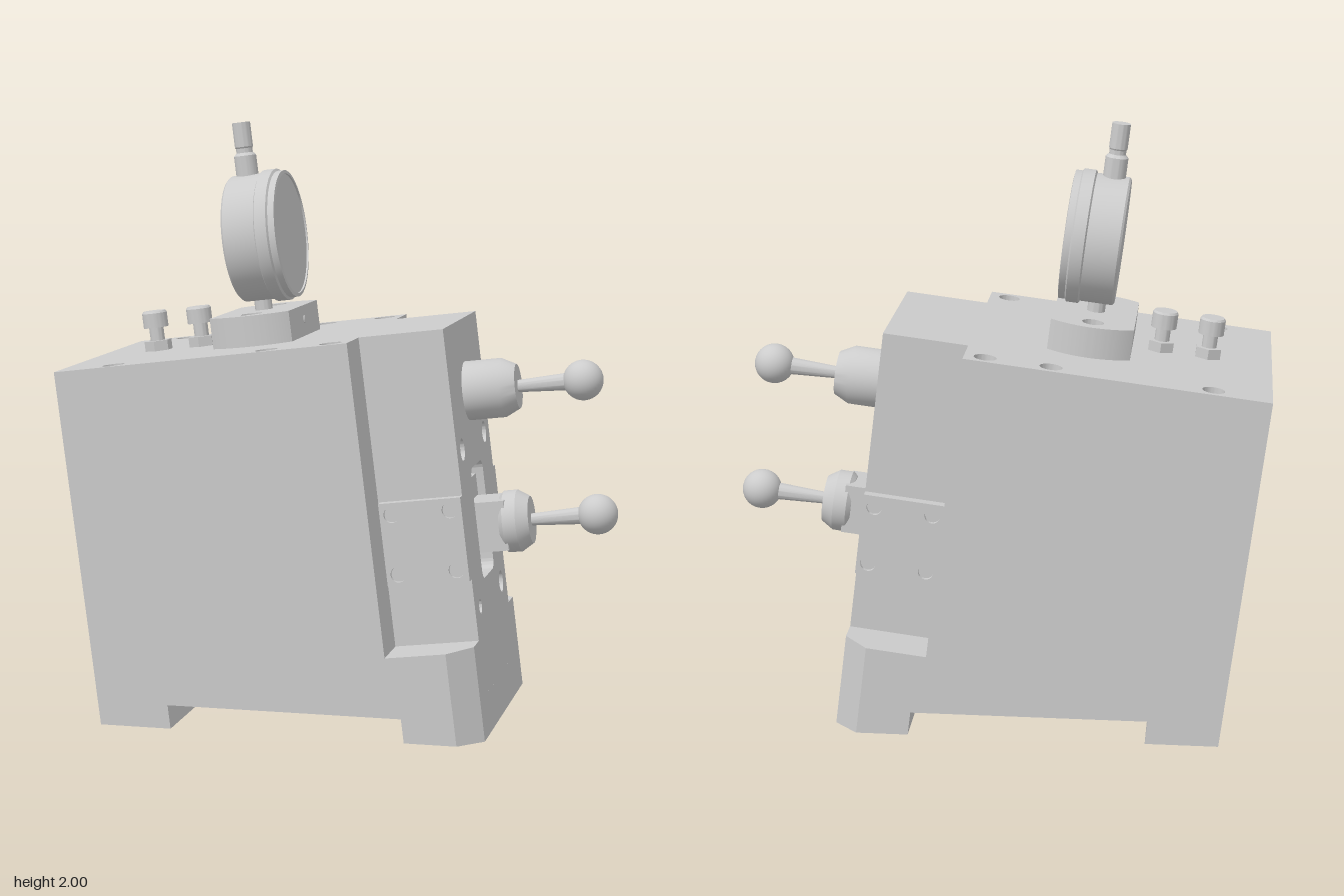
import * as THREE from 'three';
import { toCreasedNormals } from 'three/addons/utils/BufferGeometryUtils.js';

const TILT = THREE.MathUtils.degToRad(7);
const TAN = Math.tan(TILT);
const mat = new THREE.MeshStandardMaterial({ color: 0xcccccc, side: THREE.DoubleSide });

function add(parent, name, geo, x = 0, y = 0, z = 0) {
  const m = new THREE.Mesh(geo, mat);
  m.name = name;
  m.position.set(x, y, z);
  parent.add(m);
  return m;
}

// Polygon with round holes given as [x, y, radius]
function plate(points, holes = []) {
  const s = new THREE.Shape(points.map(p => new THREE.Vector2(p[0], p[1])));
  for (const [x, y, r] of holes) s.holes.push(new THREE.Path().absarc(x, y, r, 0, Math.PI * 2, true));
  return s;
}

function extrude(shape, depth) {
  return new THREE.ExtrudeGeometry(shape, { depth, bevelEnabled: false, curveSegments: 20 });
}
const alongY = (shape, depth) => toCreasedNormals(extrude(shape, depth).rotateX(-Math.PI / 2), 0.6);
const alongX = (shape, depth) => toCreasedNormals(extrude(shape, depth).rotateY(Math.PI / 2), 0.6);
const rect = (x0, x1, y0, y1) => [[x0, y0], [x1, y0], [x1, y1], [x0, y1]];

// Turned part from [radius, height] pairs
function turned(profile, toX = false) {
  let g = new THREE.LatheGeometry(profile.map(p => new THREE.Vector2(p[0], p[1])), 48);
  if (toX) g.rotateZ(-Math.PI / 2);
  return toCreasedNormals(g, 0.5);
}

// Shoulder inside a counterbored hole
function shoulder(parent, r, axis, x, y, z) {
  const g = new THREE.RingGeometry(r * 0.62, r, 24);
  if (axis === 'x') g.rotateY(Math.PI / 2);
  if (axis === 'y') g.rotateX(-Math.PI / 2);
  add(parent, 'holeShoulder', g, x, y, z);
}

// Lever with a hub, tapered rod and ball, pointing along +x
function lever(parent, name, y, hub) {
  const g = new THREE.Group();
  g.name = name;
  g.position.y = y;
  add(g, 'hub', turned(hub, true));
  add(g, 'rod', turned([[0.02, 0.69], [0.03, 0.88]], true));
  add(g, 'ball', new THREE.SphereGeometry(0.068, 32, 24), 0.92);
  parent.add(g);
}

export function createModel() {
  const root = new THREE.Group();
  root.name = 'tiltedFixture';
  const body = new THREE.Group();
  body.name = 'tiltedBody';
  body.rotation.z = TILT;
  root.add(body);

  const floorAt = (X, h) => h / Math.cos(TILT) - X * TAN;

  // Main block
  add(body, 'mainBlock', extrude(plate([
    [-0.708, floorAt(-0.708, 0.12)], [0.243, floorAt(0.243, 0.12)], [0.243, 1.24], [-0.708, 1.24],
  ]), 0.94), 0, 0, -0.47);

  // Top plate with screw holes
  const topHoles = [];
  for (const x of [-0.567, -0.04, 0.175]) for (const z of [-0.415, 0.415]) {
    topHoles.push([x, z, 0.037]);
    shoulder(body, 0.037, 'y', x, 1.265, z);
  }
  add(body, 'topPlate', alongY(plate([
    [-0.758, -0.47], [0.243, -0.47], [0.243, -0.3], [0.526, -0.3],
    [0.526, 0.3], [0.243, 0.3], [0.243, 0.47], [-0.758, 0.47],
  ], topHoles), 0.05), 0, 1.24, 0);

  // Back plate with screw holes
  const backHoles = [];
  for (const y of [0.3, 0.77, 1.2]) for (const z of [-0.415, 0.415]) {
    backHoles.push([z, y, 0.034]);
    shoulder(body, 0.034, 'x', -0.735, y, z);
  }
  add(body, 'backPlate', alongX(plate(rect(-0.47, 0.47, 0.2, 1.24), backHoles), 0.05), -0.758, 0, 0);

  // Front column with slot and holes
  add(body, 'columnCore', new THREE.BoxGeometry(0.14, 1.0, 0.6), 0.31, 0.74, 0);
  const frontHoles = [[0.205, 0.878, 0.037], [-0.205, 0.878, 0.037], [0.205, 0.349, 0.037], [-0.205, 0.349, 0.024]];
  const front = plate(rect(-0.3, 0.3, 0.24, 1.24), frontHoles);
  for (const [a, y, r] of frontHoles) if (r > 0.03) shoulder(body, r, 'x', 0.505, y, -a);
  const slot = new THREE.Path(), w = 0.11, lo = 0.419, hi = 0.797, c = 0.035;
  slot.absarc(w - c, lo + c, c, -Math.PI / 2, 0);
  slot.absarc(w - c, hi - c, c, 0, Math.PI / 2);
  slot.absarc(-w + c, hi - c, c, Math.PI / 2, Math.PI);
  slot.absarc(-w + c, lo + c, c, Math.PI, Math.PI * 1.5);
  front.holes.push(slot);
  add(body, 'frontPlate', alongX(front, 0.146), 0.38, 0, 0);

  // Chamfered front foot, with its underside levelled
  const chamfered = (x0, x1) => [[x0, -0.47], [x1 - 0.08, -0.47], [x1, -0.39], [x1, 0.39], [x1 - 0.08, 0.47], [x0, 0.47]];
  const toe = extrude(plate(chamfered(0.2, 0.526)), 0.253).rotateX(-Math.PI / 2);
  const p = toe.attributes.position;
  for (let i = 0; i < p.count; i++) if (p.getY(i) < 0.1) p.setY(i, floorAt(p.getX(i), 0.12));
  toe.computeVertexNormals();
  add(body, 'frontToe', toe);

  // Level base and feet, sheared to follow the tilt
  function basePart(name, points, holes, y, h) {
    const g = alongY(plate(points, holes), h);
    g.translate(0, y, 0);
    g.applyMatrix4(new THREE.Matrix4().set(1, -TAN, 0, 0, 0, 1, 0, 0, 0, 0, 1, 0, 0, 0, 0, 1));
    add(root, name, g);
  }
  const under = [];
  for (const x of [-0.65, -0.12, 0.1]) for (const z of [-0.415, 0.415]) under.push([x, z, 0.035]);
  basePart('base', chamfered(-0.764, 0.53), under, 0.08, 0.05);
  basePart('backFoot', rect(-0.764, -0.52, -0.47, 0.47), under.slice(0, 2), 0, 0.08);
  basePart('frontFoot', chamfered(0.275, 0.53), [], 0, 0.08);

  // Side cover plates
  const corners = [];
  for (const x of [-0.098, 0.098]) for (const y of [-0.1, 0.1]) corners.push([0.388 + x, 0.6 + y, 0.026]);
  for (const s of [-1, 1]) {
    add(body, 'sideCover', toCreasedNormals(extrude(plate(rect(0.25, 0.526, 0.46, 0.74), corners), 0.035), 0.6),
      0, 0, s > 0 ? 0.3 : -0.335);
    for (const [x, y, r] of corners) shoulder(body, r, 'z', x, y, s * 0.322);
  }

  // Slider and levers
  add(body, 'slider', new THREE.BoxGeometry(0.13, 0.25, 0.21), 0.435, 0.625, 0);
  add(body, 'sliderNeck', new THREE.BoxGeometry(0.16, 0.17, 0.17), 0.54, 0.592, 0);
  lever(body, 'upperLever', 1.048, [[0.1, 0.52], [0.1, 0.65], [0.075, 0.7], [0, 0.7]]);
  lever(body, 'lowerLever', 0.592, [[0, 0.595], [0.09, 0.595], [0.105, 0.61], [0.105, 0.655], [0.08, 0.695], [0, 0.695]]);

  // Top bolts with lock nuts
  for (const x of [-0.54, -0.38]) {
    add(body, 'lockNut', toCreasedNormals(new THREE.CylinderGeometry(0.048, 0.048, 0.035, 6), 0.5), x, 1.307, 0);
    add(body, 'bolt', turned([[0.025, 1.29], [0.025, 1.37], [0.043, 1.37], [0.043, 1.42], [0.038, 1.427], [0, 1.427]]), x);
  }

  // Gauge holder: a disc with two flat sides
  const gx = -0.147, a = Math.acos(0.138 / 0.24);
  const holder = new THREE.Shape();
  holder.absarc(0, 0, 0.24, a, Math.PI - a);
  holder.absarc(0, 0, 0.24, Math.PI + a, Math.PI * 2 - a);
  for (const z of [-0.165, 0.165]) {
    holder.holes.push(new THREE.Path().absarc(0, z, 0.036, 0, Math.PI * 2, true));
    shoulder(body, 0.036, 'y', gx, 1.36, z);
  }
  add(body, 'gaugeHolder', alongY(holder, 0.103), gx, 1.29, 0);
  add(body, 'setScrew', turned([[0.014, 0], [0.014, 0.003], [0, 0.003]], true), -0.009, 1.345, 0);

  // Dial gauge
  add(body, 'gaugeStem', turned([[0.03, 1.38], [0.03, 1.46]]), gx);
  add(body, 'gaugeCase', turned([
    [0, -0.205], [0.208, -0.205], [0.215, -0.198], [0.215, -0.09], [0.224, -0.085],
    [0.224, -0.045], [0.216, -0.04], [0.216, -0.018], [0.204, -0.016], [0.204, -0.022], [0, -0.022],
  ], true), 0, 1.64, 0);
  add(body, 'gaugePlunger', turned([
    [0.038, 1.84], [0.038, 1.92], [0.028, 1.93], [0.028, 1.945], [0.031, 1.95], [0.031, 2.033], [0, 2.033],
  ]), gx);

  return root;
}
